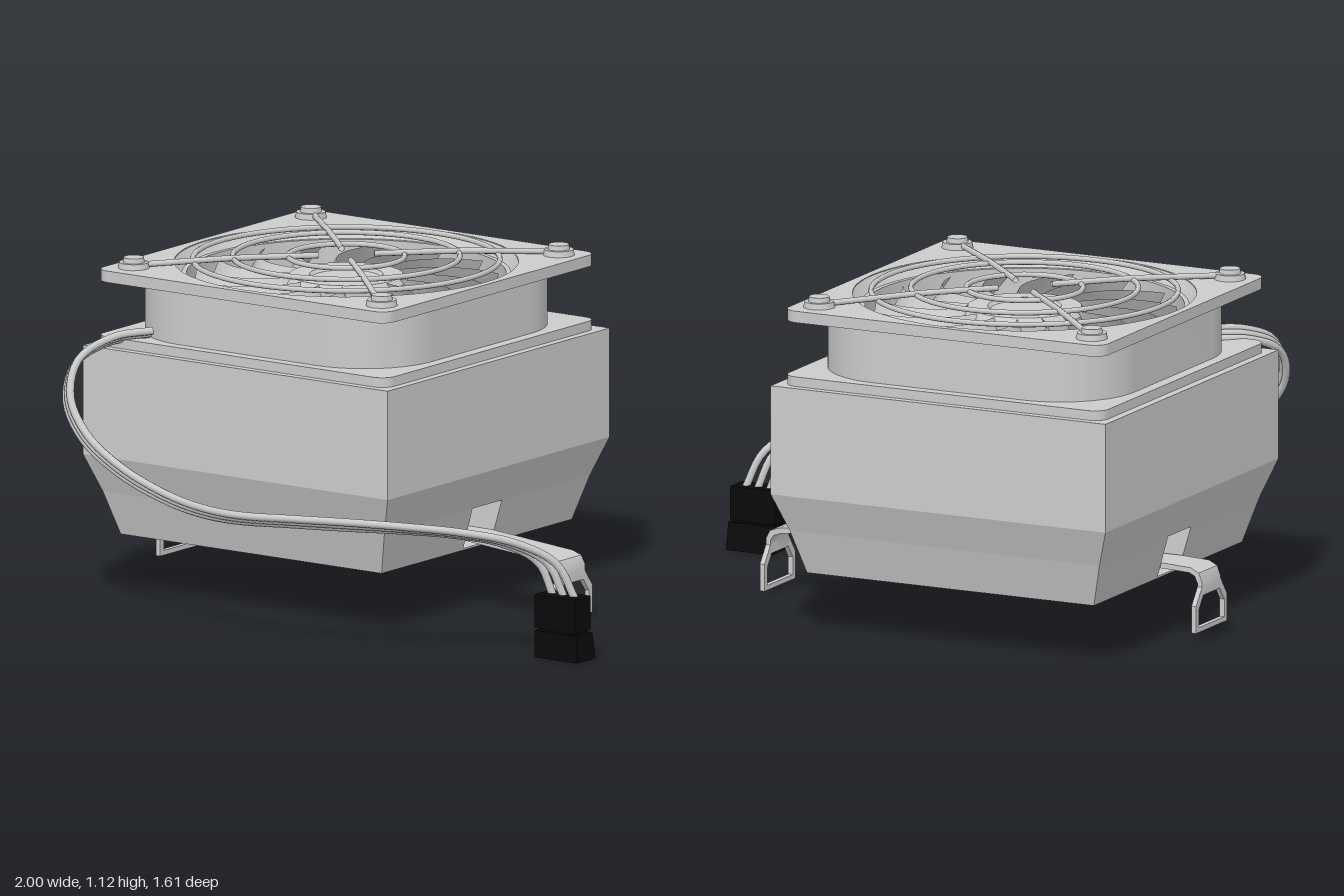
import * as THREE from 'three';
import { toCreasedNormals } from 'three/addons/utils/BufferGeometryUtils.js';

const grey = new THREE.MeshStandardMaterial({ color: 0xcccccc });
const greyThin = new THREE.MeshStandardMaterial({ color: 0xcccccc, side: THREE.DoubleSide });
const black = new THREE.MeshStandardMaterial({ color: 0x0a0a0a });
const CX = -0.315, CZ = -0.195; // axis of the cooler

function add(parent, name, geometry, material = grey) {
  const mesh = new THREE.Mesh(geometry, material);
  mesh.name = name;
  parent.add(mesh);
  return mesh;
}

const polygon = (pts, Type = THREE.Shape) => new Type(pts.map(([x, y]) => new THREE.Vector2(x, y)));

// Rounded square plate with a round hole, lying flat from y0 to y1
function plate(half, radius, hole, y0, y1) {
  const s = new THREE.Shape(), k = half - radius;
  [[k, k], [-k, k], [-k, -k], [k, -k]].forEach(([x, y], i) =>
    s.absarc(x, y, radius, i * Math.PI / 2, (i + 1) * Math.PI / 2, false));
  s.closePath();
  s.holes.push(new THREE.Path().absarc(0, 0, hole, 0, Math.PI * 2, true));
  const g = new THREE.ExtrudeGeometry(s, { depth: y1 - y0, bevelEnabled: false, curveSegments: 32 });
  return toCreasedNormals(g.rotateX(-Math.PI / 2).translate(0, y0, 0), 0.5);
}

// Block tapering from bottom to top; each end is [y, halfX, zMin, zMax]
function taperedBlock(bottom, top) {
  const g = new THREE.BoxGeometry(2, 2, 2), p = g.attributes.position;
  for (let i = 0; i < p.count; i++) {
    const [y, hx, z0, z1] = p.getY(i) < 0 ? bottom : top;
    p.setXYZ(i, p.getX(i) * hx, y, p.getZ(i) < 0 ? z0 : z1);
  }
  g.computeVertexNormals();
  return g;
}

function heatsink() {
  const group = new THREE.Group();
  group.name = 'heatsink';
  const H = 0.613, B = 0.525, M = 0.567, tunnel = 0.081;
  add(group, 'heatsinkUpper', taperedBlock([0.47, H, -H, H], [0.832, H, -H, H]));
  add(group, 'heatsinkTaper', taperedBlock([0.345, M, -M, M], [0.47, H, -H, H]));
  // Two lower halves leave a tunnel for the clip, closed by a thin floor
  add(group, 'heatsinkLowerFront', taperedBlock([0.2, B, tunnel - 0.004, B], [0.345, M, tunnel, M]));
  add(group, 'heatsinkLowerBack', taperedBlock([0.2, B, -B, -tunnel + 0.004], [0.345, M, -M, -tunnel]));
  add(group, 'tunnelFloor', taperedBlock([0.2, B, -tunnel, tunnel], [0.206, B, -tunnel, tunnel]));
  return group;
}

// Swept, pitched fan blade made by bending a plane
function blade() {
  const g = new THREE.PlaneGeometry(1, 1, 10, 4), p = g.attributes.position;
  for (let i = 0; i < p.count; i++) {
    const u = p.getX(i) + 0.5, v = p.getY(i);
    const r = 0.19 + 0.305 * u;
    const a = 0.45 * u * u + v * (0.34 - 0.06 * u);
    p.setXYZ(i, r * Math.cos(a), 0.96 + v * 0.14 + 0.03 * v * v, r * Math.sin(a));
  }
  g.computeVertexNormals();
  return g;
}

function fan() {
  const group = new THREE.Group();
  group.name = 'fan';
  add(group, 'lowerFlange', plate(0.585, 0.05, 0.52, 0.832, 0.864));
  add(group, 'frameBody', plate(0.545, 0.27, 0.52, 0.864, 1.045));
  add(group, 'upperFlange', plate(0.585, 0.05, 0.56, 1.045, 1.083));
  const lathe = pts => new THREE.LatheGeometry(pts.map(([x, y]) => new THREE.Vector2(x, y)), 64);
  add(group, 'inletFunnel', lathe([[0.52, 1.03], [0.535, 1.045], [0.56, 1.08]]), greyThin);
  add(group, 'hub', toCreasedNormals(lathe([[0.2, 0.87], [0.2, 1.02], [0.185, 1.04], [0.12, 1.04],
    [0.11, 1.03], [0, 1.03]]), 0.5), greyThin);
  const g = blade();
  for (let i = 0; i < 15; i++) add(group, 'blade', g, greyThin).rotation.y = i * Math.PI * 2 / 15;
  return group;
}

function guard() {
  const group = new THREE.Group();
  group.name = 'fanGuard';
  for (const [r, y] of [[0.5, 1.09], [0.37, 1.1], [0.19, 1.1]]) {
    add(group, 'guardRing', new THREE.TorusGeometry(r, 0.009, 8, 64).rotateX(Math.PI / 2).translate(0, y, 0));
  }
  for (const sx of [-1, 1]) for (const sz of [-1, 1]) {
    const path = new THREE.CatmullRomCurve3([[0.065, 1.105], [0.26, 1.105], [0.36, 1.1], [0.49, 1.093]]
      .map(([d, y]) => new THREE.Vector3(sx * d, y, sz * d)));
    add(group, 'guardRod', new THREE.TubeGeometry(path, 12, 0.01, 8), greyThin);
    const x = sx * 0.499, z = sz * 0.489;
    add(group, 'screwWasher', new THREE.CylinderGeometry(0.048, 0.052, 0.02, 24).translate(x, 1.092, z));
    add(group, 'screwHead', new THREE.CylinderGeometry(0.033, 0.036, 0.018, 24).translate(x, 1.109, z));
  }
  return group;
}

// Spring clip: a bent strap through the tunnel with a loop at each end
function clip() {
  const group = new THREE.Group();
  group.name = 'clip';
  const strap = polygon([[-0.997, 0.16], [-0.997, 0.2], [-0.985, 0.23], [-0.955, 0.245], [-0.86, 0.25],
    [0.22, 0.248], [0.55, 0.22], [0.585, 0.208], [0.6, 0.18], [0.6, 0.13],
    [0.583, 0.13], [0.583, 0.175], [0.572, 0.192], [0.545, 0.202], [0.22, 0.23],
    [-0.86, 0.232], [-0.95, 0.228], [-0.97, 0.218], [-0.98, 0.195], [-0.98, 0.16]]);
  add(group, 'strap', toCreasedNormals(new THREE.ExtrudeGeometry(strap, { depth: 0.13, bevelEnabled: false })
    .translate(0, 0, CZ - 0.063), 0.7));
  const loop = polygon([[-0.065, 0.15], [-0.11, 0.09], [-0.11, 0], [0.11, 0], [0.11, 0.09], [0.065, 0.15]]);
  loop.holes.push(polygon([[-0.058, 0.118], [0.058, 0.118], [0.09, 0.075], [0.09, 0.016],
    [-0.09, 0.016], [-0.09, 0.075]], THREE.Path));
  for (const [x, y] of [[0.583, 0.013], [-0.997, 0.038]]) {
    add(group, 'clipLoop', new THREE.ExtrudeGeometry(loop, { depth: 0.017, bevelEnabled: false })
      .rotateY(Math.PI / 2).translate(x, y, CZ + 0.005));
  }
  return group;
}

function cable() {
  const group = new THREE.Group();
  group.name = 'cable';
  const path = [[-0.72, 0.882, 0.33], [-0.8, 0.87, 0.43], [-0.85, 0.81, 0.56], [-0.835, 0.7, 0.625],
    [-0.75, 0.59, 0.652], [-0.6, 0.5, 0.665], [-0.4, 0.44, 0.69], [-0.2, 0.425, 0.745],
    [-0.03, 0.43, 0.778], [0.15, 0.44, 0.765], [0.35, 0.44, 0.695], [0.5, 0.435, 0.62],
    [0.65, 0.42, 0.52], [0.78, 0.385, 0.41], [0.87, 0.315, 0.32], [0.912, 0.2, 0.285]];
  for (const i of [-1, 0, 1]) {
    const pts = path.map(([x, y, z], k) => {
      const t = Math.max(0, (k - 10) / 5); // wires fan out towards the plug
      return new THREE.Vector3(x + i * (0.018 + 0.026 * t), y + i * 0.013 * (1 - t), z + i * 0.014 * (1 - t));
    });
    add(group, 'wire', new THREE.TubeGeometry(new THREE.CatmullRomCurve3(pts), 90, 0.013, 8));
  }
  return group;
}

// Plug with a flared lower half and a small groove between the halves
function plug() {
  const group = new THREE.Group();
  group.name = 'plug';
  // Profile runs along -z, extruded across x
  const part = (name, pts, x0, x1) => add(group, name,
    new THREE.ExtrudeGeometry(polygon(pts), { depth: x1 - x0, bevelEnabled: false })
      .rotateY(Math.PI / 2).translate(x0, 0, 0), black);
  part('plugUpper', [[-0.335, 0.098], [-0.25, 0.098], [-0.25, 0.21], [-0.335, 0.21]], 0.83, 0.993);
  part('plugGroove', [[-0.325, 0.085], [-0.258, 0.085], [-0.258, 0.1], [-0.325, 0.1]], 0.838, 0.985);
  part('plugLower', [[-0.335, 0], [-0.232, 0], [-0.25, 0.09], [-0.335, 0.09]], 0.83, 1);
  return group;
}

export function createModel() {
  const model = new THREE.Group();
  model.name = 'processorCooler';
  const cooler = new THREE.Group();
  cooler.name = 'cooler';
  cooler.position.set(CX, 0, CZ);
  cooler.add(heatsink(), fan(), guard());
  model.add(cooler, clip(), cable(), plug());
  return model;
}
